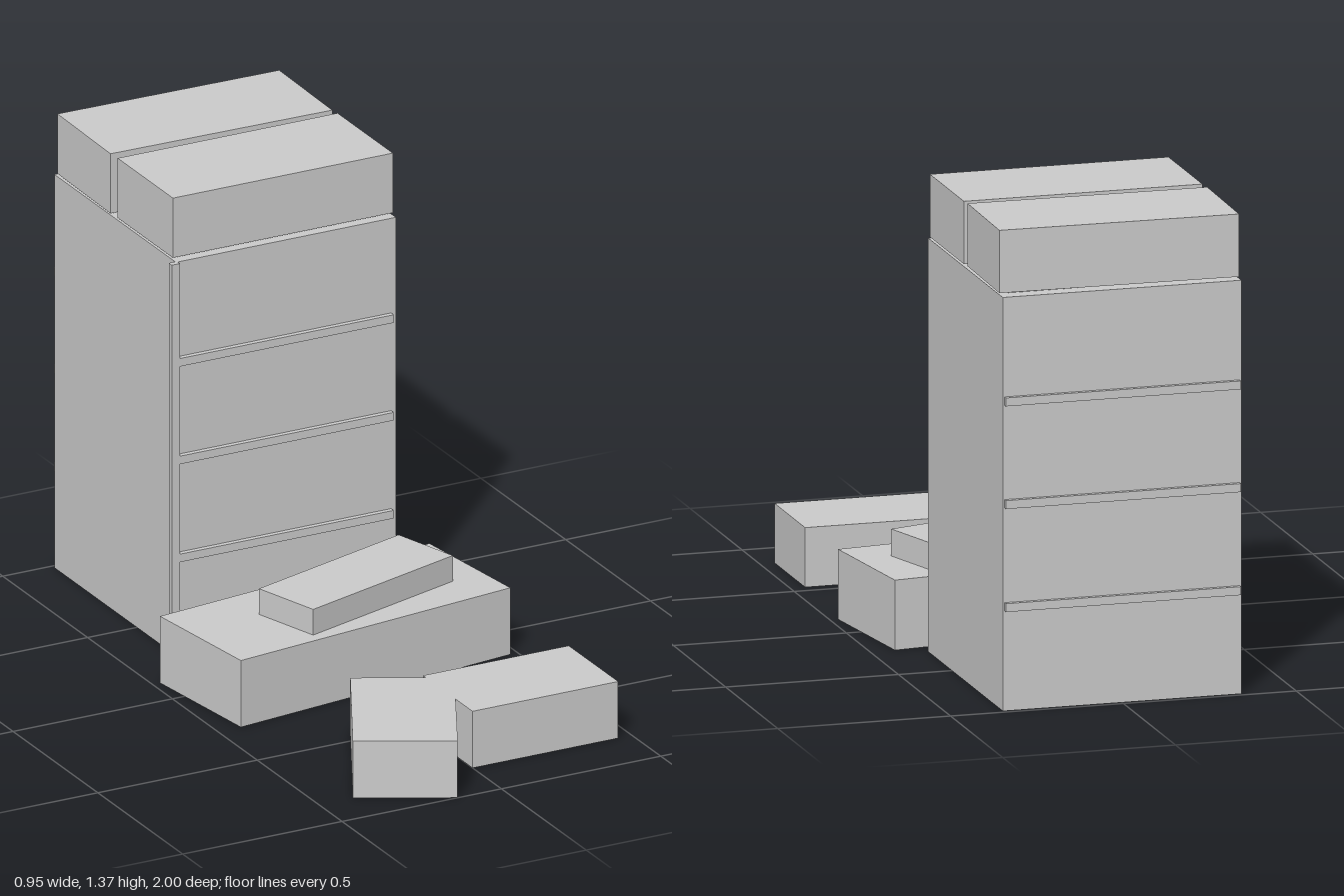
import * as THREE from 'three';

export function createModel() {
  const model = new THREE.Group();
  model.name = 'towerWithSteps';
  const grey = new THREE.MeshStandardMaterial({ color: 0xcccccc });
  grey.name = 'light grey';

  // Box centred at x, z with its base at y, turned about the vertical axis
  function box(name, w, h, d, x, y, z, turn = 0) {
    const mesh = new THREE.Mesh(new THREE.BoxGeometry(w, h, d), grey);
    mesh.name = name;
    mesh.position.set(x, y + h / 2, z);
    mesh.rotation.y = turn;
    model.add(mesh);
  }

  // Tower body with a slim post on its front corner
  box('towerBody', 0.69, 1.18, 0.717, 0, 0, -0.6285);
  box('cornerPost', 0.025, 1.18, 0.018, -0.3525, 0, -0.266);

  // Floor ledges on the front and back
  for (const y of [0.285, 0.579, 0.872]) {
    box('frontLedge', 0.67, 0.024, 0.02, -0.005, y, -0.265);
    box('backLedge', 0.68, 0.024, 0.02, 0, y, -0.99);
  }

  // Roof: a thin plate carrying two blocks with a gap between them
  box('roofPlate', 0.63, 0.017, 0.62, 0, 1.18, -0.63);
  box('frontRoofBlock', 0.69, 0.179, 0.326, 0, 1.187, -0.451);
  box('backRoofBlock', 0.69, 0.179, 0.323, 0, 1.187, -0.807, -0.016);

  // Two stacked, turned steps
  box('lowerStep', 0.912, 0.2, 0.39, 0, 0, 0.02, 0.123);
  box('upperStep', 0.548, 0.077, 0.212, 0.065, 0.2, 0.02, 0.298);

  // Low bent block made of two joined arms, extruded from its plan (x, z)
  const plan = [
    [-0.186, 0.458], [0, 0.553], [0, 0.538], [0.457, 0.538], [0.457, 0.83],
    [0, 0.83], [0, 0.73], [-0.137, 1.0], [-0.394, 0.864],
  ];
  const shape = new THREE.Shape(plan.map(([x, z]) => new THREE.Vector2(x, -z)));
  const geometry = new THREE.ExtrudeGeometry(shape, { depth: 0.17, bevelEnabled: false });
  geometry.rotateX(-Math.PI / 2);
  const bent = new THREE.Mesh(geometry, grey);
  bent.name = 'bentBlock';
  model.add(bent);

  return model;
}
